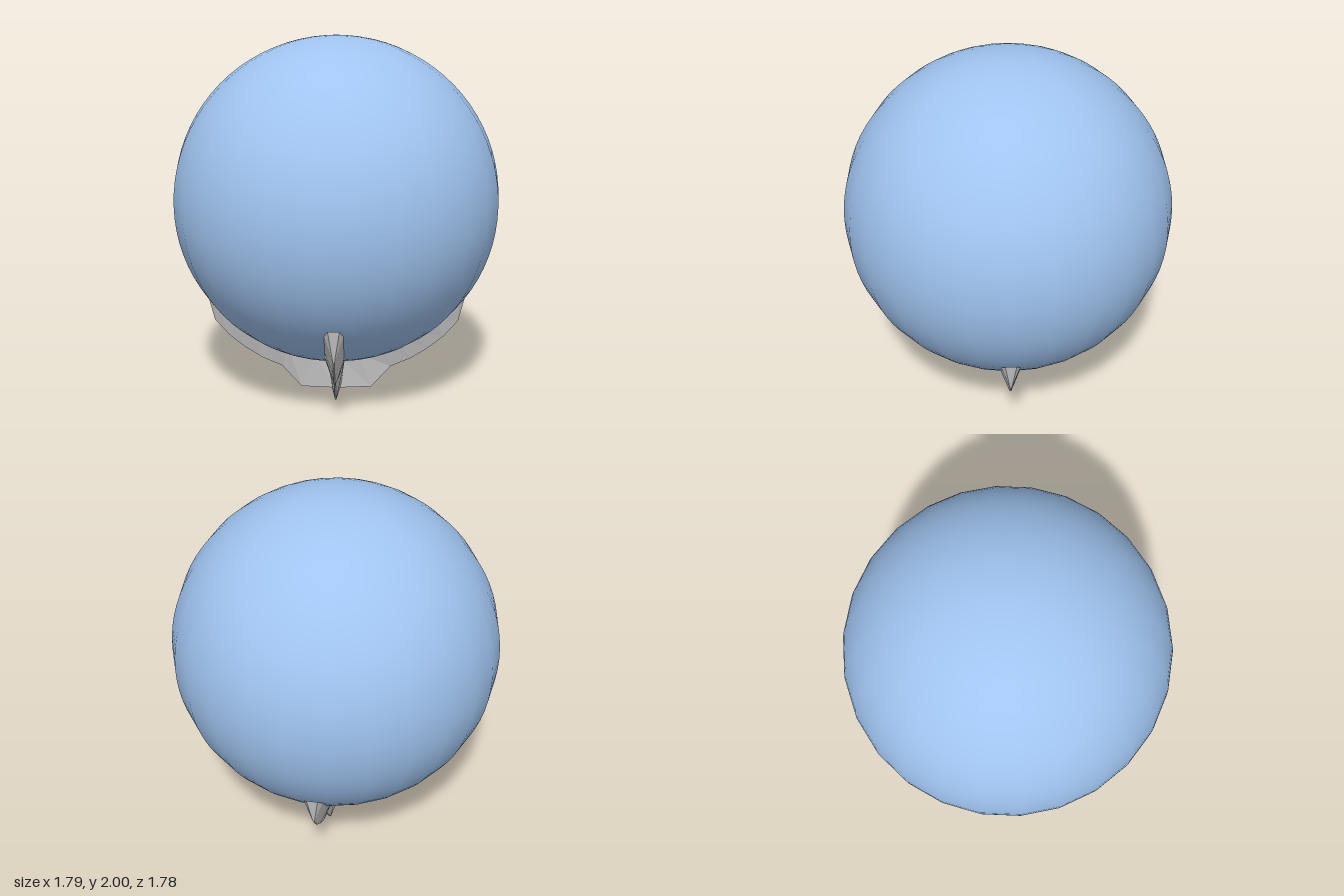
import * as THREE from 'three';

// Stations along one arm: inner x, y, half width, then outer x, y, half width
const STATIONS = [
  [0, 0.21, 0.05, 0, 0, 0.026],
  [0.12, 0.216, 0.05, 0.2, 0, 0.004],
  [0.27, 0.25, 0.05, 0.31, 0.125, 0.004],
  [0.37, 0.288, 0.05, 0.42, 0.172, 0.004],
  [0.47, 0.34, 0.05, 0.52, 0.235, 0.004],
  [0.56, 0.405, 0.05, 0.61, 0.308, 0.004],
  [0.69, 0.54, 0.05, 0.69, 0.4, 0.004],
  [0.73, 0.578, 0.03, 0.73, 0.578, 0.03],
];

// Wedge-shaped arm: wide against the ball, narrow along its outer edge
function armGeometry() {
  const rings = STATIONS.map(([ix, iy, iw, ox, oy, ow]) => [
    [ix, iy, iw], [ix, iy, -iw], [ox, oy, -ow], [ox, oy, ow],
  ]);
  const positions = [];
  for (let i = 0; i < rings.length - 1; i++) {
    const a = rings[i], b = rings[i + 1];
    for (let j = 0; j < 4; j++) {
      const k = (j + 1) % 4;
      positions.push(...a[j], ...b[j], ...a[k], ...b[j], ...b[k], ...a[k]);
    }
  }
  const geometry = new THREE.BufferGeometry();
  geometry.setAttribute('position', new THREE.Float32BufferAttribute(positions, 3));
  geometry.computeVertexNormals();
  return geometry;
}

export function createModel() {
  const model = new THREE.Group();
  model.name = 'ballOnStand';

  // Ball
  const ball = new THREE.Mesh(
    new THREE.SphereGeometry(0.895, 26, 40),
    new THREE.MeshStandardMaterial({ color: 0xa0c4f0 }),
  );
  ball.name = 'ball';
  ball.position.y = 1.105;
  model.add(ball);

  // Stand of four crossing arms
  const stand = new THREE.Group();
  stand.name = 'stand';
  const geometry = armGeometry();
  const grey = new THREE.MeshStandardMaterial({ color: 0xcccccc, flatShading: true });
  for (let i = 0; i < 4; i++) {
    const arm = new THREE.Mesh(geometry, grey);
    arm.name = 'standArm' + (i + 1);
    arm.rotation.y = (i * Math.PI) / 2;
    stand.add(arm);
  }
  model.add(stand);

  return model;
}
